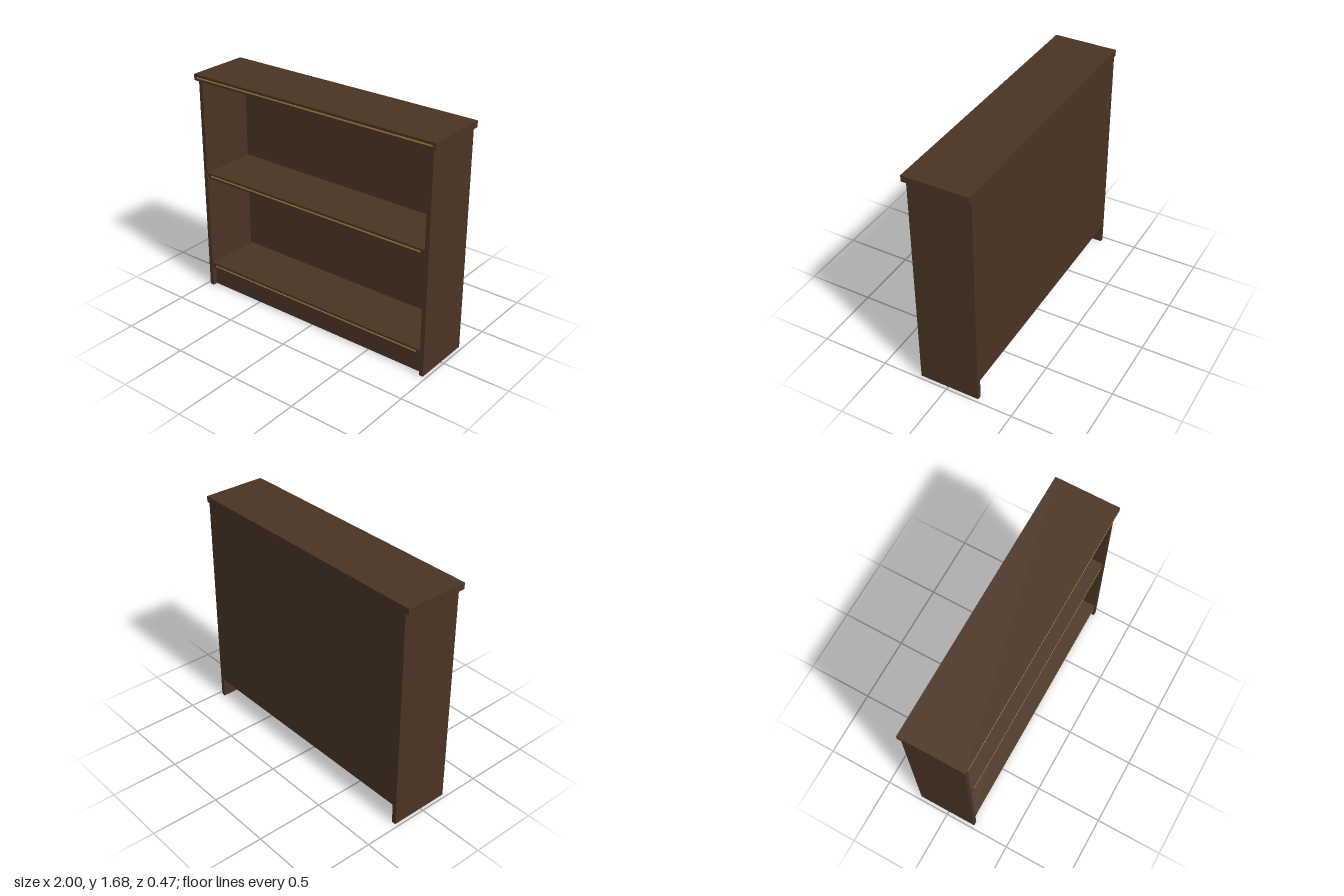
import * as THREE from 'three';

export function createModel() {
  const model = new THREE.Group();
  model.name = 'bookcase';

  const wood = new THREE.MeshStandardMaterial({ color: 0x4a3423 });
  wood.name = 'dark wood';
  const brass = new THREE.MeshStandardMaterial({ color: 0xb08a48 });
  brass.name = 'brass inlay';

  // Box given by its extents on each axis
  function box(name, [x0, x1], [y0, y1], [z0, z1], material = wood) {
    const mesh = new THREE.Mesh(new THREE.BoxGeometry(x1 - x0, y1 - y0, z1 - z0), material);
    mesh.position.set((x0 + x1) / 2, (y0 + y1) / 2, (z0 + z1) / 2);
    mesh.name = name;
    model.add(mesh);
  }

  // Thin inlay line along a front edge
  function inlay(name, halfWidth, y, z) {
    box(name, [-halfWidth, halfWidth], [y - 0.005, y + 0.005], [z - 0.002, z + 0.002], brass);
  }

  const back = -0.235;

  // Overhanging top board
  box('topBoard', [-1, 1], [1.64, 1.685], [back, 0.235]);
  inlay('topInlay', 0.975, 1.662, 0.235);

  // Side panels
  box('leftSide', [0.943, 0.975], [0, 1.64], [back, 0.215]);
  box('rightSide', [-0.975, -0.943], [0, 1.64], [back, 0.215]);

  // Back panel, flush with the rear of the sides
  box('backPanel', [-0.943, 0.943], [0.15, 1.64], [back, -0.217]);

  // Shelves with inlaid front edges
  for (const [name, y] of [['bottomShelf', 0.15], ['middleShelf', 0.897]]) {
    box(name, [-0.938, 0.938], [y, y + 0.043], [-0.217, 0.21]);
    inlay(name + 'Inlay', 0.91, y + 0.022, 0.21);
  }

  // Recessed plinth under the bottom shelf
  box('kickBoard', [-0.938, 0.938], [0.005, 0.15], [0.155, 0.185]);

  return model;
}
